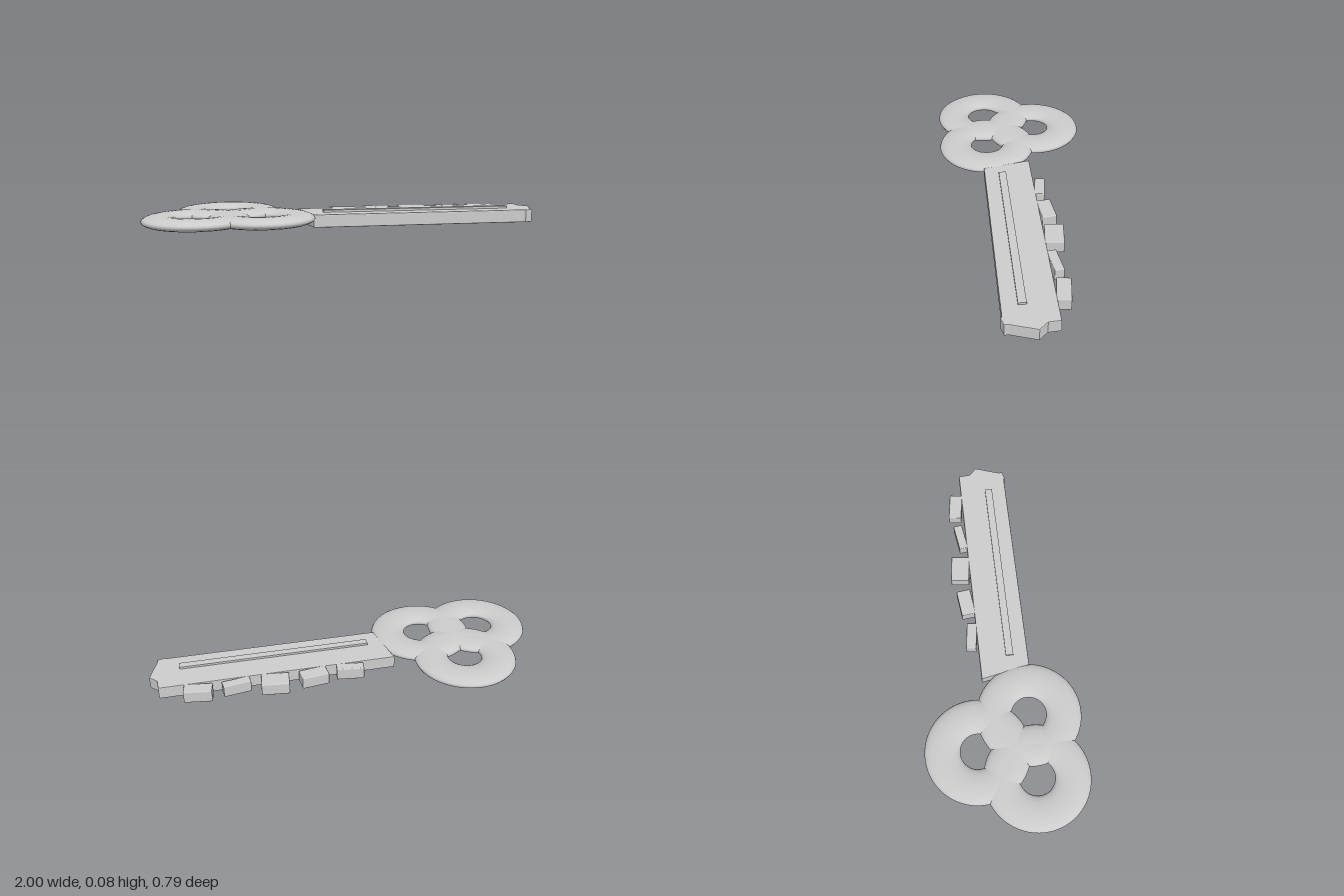
import * as THREE from 'three';
import { RoundedBoxGeometry } from 'three/addons/geometries/RoundedBoxGeometry.js';

const TOP = 0.065; // thickness of blade and teeth

export function createModel() {
  const key = new THREE.Group();
  key.name = 'key';
  const material = new THREE.MeshStandardMaterial({ color: 0xcccccc });
  const add = (name, geometry, x = 0, y = 0, z = 0) => {
    const mesh = new THREE.Mesh(geometry, material);
    mesh.name = name;
    mesh.position.set(x, y, z);
    key.add(mesh);
    return mesh;
  };

  // Bow: three flattened rings in a trefoil
  const ring = new THREE.TorusGeometry(0.173, 0.087, 20, 64);
  ring.scale(1, 1, 0.33);
  ring.rotateX(Math.PI / 2);
  for (const [x, z] of [[-0.583, -0.138], [-0.74, 0.132], [-0.426, 0.132]]) {
    add('bowRing', ring, x, 0.049, z);
  }

  // Blade: bevelled plate with a slanted inner end and a pointed tip, as [x, z]
  const outline = [
    [-0.225, -0.08], [0.957, -0.08], [0.96, -0.022], [0.998, 0.018],
    [0.957, 0.14], [0.957, 0.16], [0.92, 0.172], [0.91, 0.166], [-0.175, 0.166],
  ];
  const bevel = 0.005;
  const blade = new THREE.ExtrudeGeometry(
    new THREE.Shape(outline.map(([x, z]) => new THREE.Vector2(x, -z))),
    {
      depth: TOP - 2 * bevel, bevelEnabled: true, bevelThickness: bevel,
      bevelSize: bevel, bevelOffset: -bevel, bevelSegments: 2,
    }
  );
  blade.rotateX(-Math.PI / 2);
  add('blade', blade, 0, bevel, 0);

  // Raised rib along the blade
  add('rib', new THREE.BoxGeometry(0.965, 0.03, 0.038), 0.367, 0.061, 0.073);

  // Teeth along the back edge: [x, z, depth, tilt]
  const teeth = [
    [0.013, -0.107, 0.052, -0.13],
    [0.2, -0.117, 0.072, 0.12],
    [0.395, -0.128, 0.094, -0.11],
    [0.583, -0.107, 0.046, 0.15],
    [0.77, -0.117, 0.068, -0.14],
  ];
  for (const [x, z, depth, tilt] of teeth) {
    const tooth = new RoundedBoxGeometry(0.138, TOP - 0.002, depth, 2, 0.005);
    add('tooth', tooth, x, TOP / 2, z).rotation.y = tilt;
  }

  return key;
}
